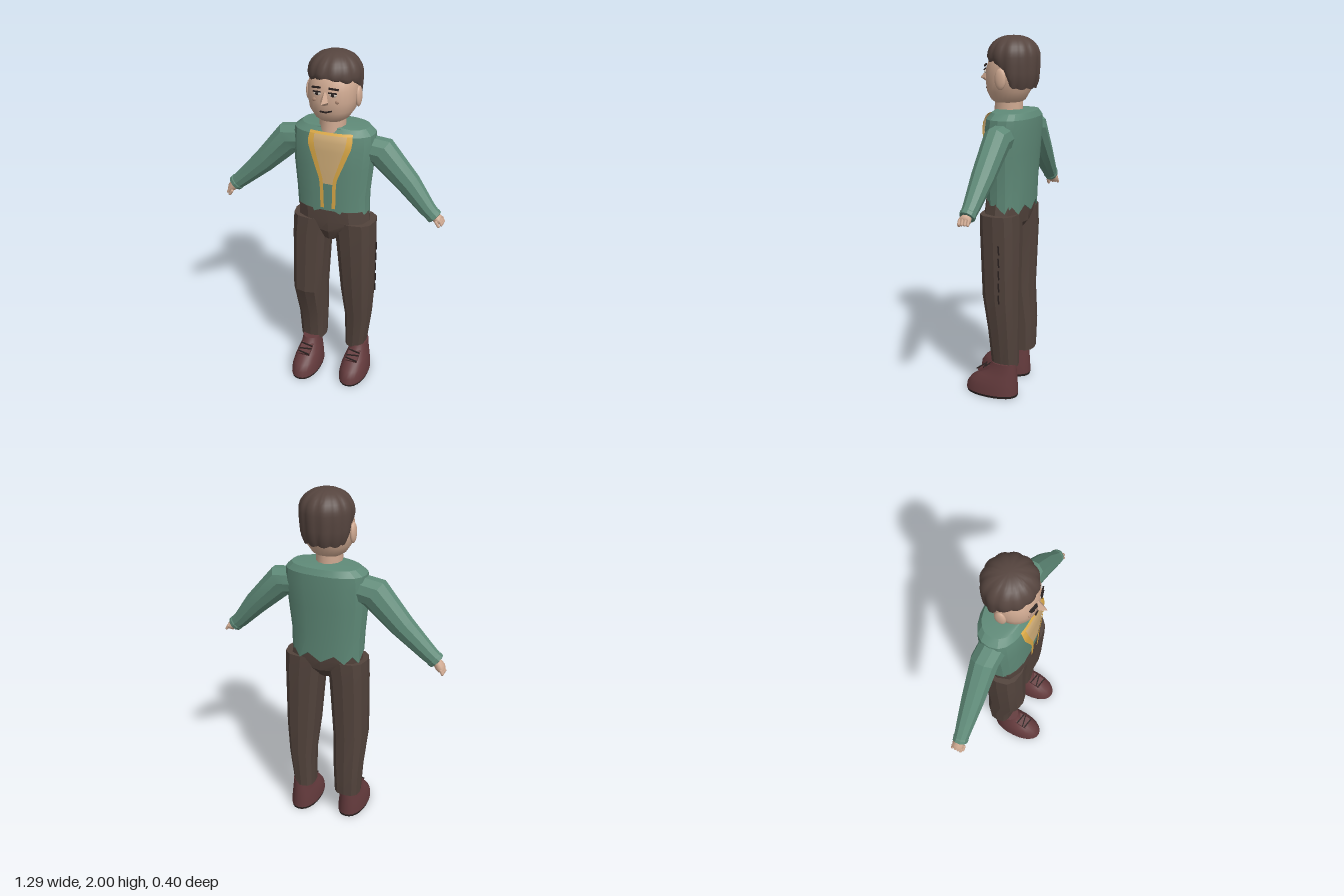
import * as THREE from 'three';
import { toCreasedNormals } from 'three/addons/utils/BufferGeometryUtils.js';

const mat = (name, color) => Object.assign(new THREE.MeshStandardMaterial({ color }), { name });
const SKIN = mat('skin', 0xd0aa92), HAIR = mat('hair', 0x56453f), GREEN = mat('sweater green', 0x5f8a78);
const BROWN = mat('trouser brown', 0x52433c), SHOE = mat('shoe maroon', 0x633a3c), DARK = mat('dark detail', 0x2a2120);
const GOLD = mat('gold trim', 0xdba947), TAN = mat('tan panel', 0xd0ad78), WHITE = mat('eye white', 0xcfc4b8);
const BLUSH = mat('cheek', 0xb08a74);
GOLD.side = TAN.side = THREE.DoubleSide;

function add(parent, name, geometry, material, x = 0, y = 0, z = 0) {
  const m = new THREE.Mesh(geometry, material);
  m.name = name;
  m.position.set(x, y, z);
  parent.add(m);
  return m;
}

// Skin a list of equal-length point rings, closed at both ends
function skin(rings, crease) {
  const n = rings[0].length, pos = [], idx = [];
  rings.flat().forEach(p => pos.push(p.x, p.y, p.z));
  for (let i = 0; i < rings.length - 1; i++)
    for (let j = 0; j < n; j++) {
      const k = (j + 1) % n, a = i * n + j, b = i * n + k;
      idx.push(a, b, b + n, a, b + n, a + n);
    }
  [rings[0], rings.at(-1)].forEach((ring, end) => {
    const c = ring.reduce((s, p) => s.add(p), new THREE.Vector3()).divideScalar(n);
    const ci = pos.length / 3, o = end ? (rings.length - 1) * n : 0;
    pos.push(c.x, c.y, c.z);
    for (let j = 0; j < n; j++) {
      const k = (j + 1) % n;
      idx.push(ci, o + (end ? j : k), o + (end ? k : j));
    }
  });
  const g = new THREE.BufferGeometry();
  g.setAttribute('position', new THREE.Float32BufferAttribute(pos, 3));
  g.setIndex(idx);
  return toCreasedNormals(g, crease);
}

// Stack of rounded sections, bottom to top: [y, x0, x1, z0, z1]
function stack(rows, { sides = 12, power = 2, crease = 0.3, dy = () => 0 } = {}) {
  const rnd = v => Math.sign(v) * Math.abs(v) ** (2 / power);
  return skin(rows.map(([y, x0, x1, z0, z1], i) => Array.from({ length: sides }, (_, j) => {
    const a = (j / sides) * Math.PI * 2;
    return new THREE.Vector3((x0 + x1) / 2 + (x1 - x0) / 2 * rnd(Math.cos(a)), y + dy(i, j, a),
      (z0 + z1) / 2 - (z1 - z0) / 2 * rnd(Math.sin(a)));
  })), crease);
}

// Limb through points [x, y, z, radius in the front plane, radius in depth]
function limb(pts, sides = 10, crease = 0.3) {
  const P = pts.map(p => new THREE.Vector3(p[0], p[1], p[2]));
  return skin(P.map((p, i) => {
    const t = P[Math.min(i + 1, P.length - 1)].clone().sub(P[Math.max(i - 1, 0)]).normalize();
    const n = new THREE.Vector3(-t.y, t.x, 0).normalize(), b = t.clone().cross(n);
    return Array.from({ length: sides }, (_, j) => {
      const a = ((j + 0.5) / sides) * Math.PI * 2;
      return p.clone().addScaledVector(n, pts[i][3] * Math.cos(a)).addScaledVector(b, pts[i][4] * Math.sin(a));
    });
  }), crease);
}

const TORSO = [
  [1.11, -0.185, 0.225, -0.165, 0.06], [1.22, -0.19, 0.225, -0.17, 0.063], [1.38, -0.205, 0.24, -0.18, 0.065],
  [1.51, -0.21, 0.25, -0.19, 0.064], [1.57, -0.205, 0.245, -0.19, 0.055], [1.602, -0.165, 0.21, -0.175, 0.03],
  [1.61, -0.07, 0.11, -0.12, 0.03]];

// Depth of the chest surface, used to lay the front panel on it
function chestZ(x, y) {
  let i = 0;
  while (i < TORSO.length - 2 && TORSO[i + 1][0] < y) i++;
  const f = (y - TORSO[i][0]) / (TORSO[i + 1][0] - TORSO[i][0]);
  const [, x0, x1, z0, z1] = TORSO[i].map((v, k) => v + (TORSO[i + 1][k] - v) * f);
  const u = Math.min(1, Math.abs(x - (x0 + x1) / 2) / ((x1 - x0) / 2));
  return (z0 + z1) / 2 + (z1 - z0) / 2 * (1 - u ** 2.4) ** (1 / 2.4);
}

// Sheet lying on the chest; rows [y, x0, x1] from top to bottom
function sheet(rows, lift, cols = 4) {
  const curve = (y, k) => {
    let i = 0;
    while (i < rows.length - 2 && rows[i + 1][0] > y) i++;
    return THREE.MathUtils.mapLinear(y, rows[i][0], rows[i + 1][0], rows[i][k], rows[i + 1][k]);
  };
  const g = new THREE.PlaneGeometry(1, 1, cols, 12), p = g.attributes.position;
  for (let v = 0; v < p.count; v++) {
    const y = THREE.MathUtils.lerp(rows.at(-1)[0], rows[0][0], p.getY(v) + 0.5);
    const x = THREE.MathUtils.lerp(curve(y, 1), curve(y, 2), p.getX(v) + 0.5);
    p.setXYZ(v, x, y, chestZ(x, y) + lift);
  }
  g.computeVertexNormals();
  return g;
}

function buildHead(root) {
  const head = new THREE.Group();
  head.name = 'head';
  root.add(head);
  add(head, 'neck', stack([[1.57, -0.052, 0.092, -0.11, 0.05], [1.67, -0.05, 0.09, -0.11, 0.045]], { crease: 1.2 }), SKIN);
  add(head, 'face', stack([[1.638, -0.035, 0.075, -0.09, 0.035], [1.66, -0.07, 0.11, -0.12, 0.062],
    [1.705, -0.1, 0.14, -0.145, 0.083], [1.76, -0.112, 0.153, -0.165, 0.088], [1.82, -0.114, 0.156, -0.175, 0.086],
    [1.89, -0.105, 0.15, -0.17, 0.062], [1.94, -0.06, 0.1, -0.13, 0.01]], { sides: 28, power: 2.2, crease: 1.2 }), SKIN);

  // Scalloped bowl of hair: high fringe, low nape
  const rings = [], n = 72, steps = 9;
  for (let i = -1; i <= steps + 3; i++)
    rings.push(Array.from({ length: n }, (_, j) => {
      const a = (j / n) * Math.PI * 2, front = -Math.sin(a), s = THREE.MathUtils.smoothstep(front, -0.45, 0.35);
      let hem = THREE.MathUtils.lerp(1.72, 1.84, s);
      if (front > 0.3) hem += 0.045 * Math.max(0, 1 - Math.abs(Math.cos(a)) / 0.9);
      const lobe = Math.abs(Math.sin(a * 6));
      let y, r;
      if (i < 3) {
        const f = (i + 1) / 4;
        y = THREE.MathUtils.lerp(hem, Math.max(hem, 1.885), f) + 0.008 * (1 - f) * (1 - lobe);
        r = i < 0 ? 0.84 : 0.92 + 0.08 * Math.sin(f * Math.PI / 2);
      } else {
        const q = ((i - 3) / steps) * Math.PI / 2;
        y = Math.max(1.885 + 0.112 * Math.sin(q), hem);
        r = Math.max(0.004, Math.cos(q)) ** 0.85;
      }
      r *= 0.95 + 0.05 * lobe;
      return new THREE.Vector3(0.022 + 0.146 * r * Math.cos(a), y, -0.06 - 0.143 * r * Math.sin(a));
    }));
  add(head, 'hair', skin(rings, 0.7), HAIR);

  const ball = new THREE.SphereGeometry(1, 14, 10);
  const blob = (name, material, p, s) => add(head, name, ball, material, ...p).scale.set(...s);
  const bar = (name, x, y, z, w, h, turn, tilt) => {
    add(head, name, new THREE.BoxGeometry(w, h, 0.007), DARK, x, y, z).rotation.set(0, turn, tilt);
  };
  for (const s of [-1, 1]) {
    const x = 0.02 + s * 0.043;
    blob('ear', SKIN, [0.02 + s * 0.137, 1.775, -0.042], [0.016, 0.056, 0.032]);
    blob('eye', WHITE, [x, 1.808, 0.083], [0.021, 0.011, 0.007]);
    blob('iris', DARK, [x, 1.808, 0.088], [0.009, 0.0095, 0.004]);
    bar('upperLid', x, 1.819, 0.089, 0.046, 0.006, s * 0.25, -s * 0.1);
    bar('eyebrow', x + s * 0.004, 1.84, 0.085, 0.052, 0.009, s * 0.25, -s * 0.12);
    blob('cheekSpot', BLUSH, [0.02 + s * 0.062, 1.77, 0.076], [0.012, 0.01, 0.005]);
  }
  add(head, 'nose', stack([[1.752, 0.002, 0.038, 0.06, 0.105], [1.77, -0.002, 0.042, 0.06, 0.138],
    [1.818, 0.013, 0.027, 0.07, 0.096]], { sides: 4 }), SKIN);
  bar('mouth', 0.012, 1.713, 0.088, 0.036, 0.007, 0, -0.08);
  bar('mouthCorner', 0.042, 1.717, 0.086, 0.03, 0.007, 0.15, 0.3);
}

function buildTorso(root) {
  // Ragged hem at the back
  add(root, 'sweater', stack(TORSO, { sides: 20, power: 2.4, dy: (i, j, a) =>
    i === 0 && Math.sin(a) > 0.25 ? (j % 2 ? -0.05 : -0.005) : 0 }), GREEN);
  add(root, 'chestPanel', sheet([[1.585, -0.07, 0.15], [1.535, -0.075, 0.153], [1.3, 0, 0.066]], 0.012, 8), TAN);
  // Gold edging that runs down into two hanging strips
  add(root, 'rightTrim', sheet([[1.585, -0.078, -0.05], [1.53, -0.086, -0.05], [1.32, -0.014, 0.006], [1.155, -0.01, 0.01]], 0.016), GOLD);
  add(root, 'leftTrim', sheet([[1.585, 0.13, 0.157], [1.53, 0.13, 0.163], [1.32, 0.06, 0.08], [1.155, 0.055, 0.075]], 0.016), GOLD);
  add(root, 'topTrim', sheet([[1.59, -0.077, 0.157], [1.578, -0.078, 0.158]], 0.016, 8), GOLD);
}

function buildArm(root, name, pts, hand) {
  const arm = new THREE.Group();
  arm.name = name;
  root.add(arm);
  add(arm, 'sleeve', limb(pts), GREEN);
  const w = pts.at(-1), v = pts.at(-2), at = (f, k) => v.slice(0, 3).map((c, i) => c + (w[i] - c) * f).concat(w[3] * k, w[4] * k);
  add(arm, 'cuff', limb([at(0.55, 1.02), at(0.7, 1.13), at(1.0, 1.08), at(1.04, 0.9)]), GREEN);
  // Short hand with curled fingers
  const [hx, hy, hz] = hand, s = Math.sign(hx);
  add(arm, 'palm', limb([[w[0], w[1], w[2], 0.024, 0.026], [(w[0] + hx) / 2, (w[1] + hy) / 2, hz, 0.028, 0.033],
    [hx - s * 0.008, hy + 0.008, hz, 0.02, 0.03]], 10, 1.2), SKIN);
  for (let i = 0; i < 4; i++)
    add(arm, 'finger', new THREE.CapsuleGeometry(0.008, 0.022, 3, 8), SKIN, hx - s * 0.004, hy + 0.004, hz - 0.025 + i * 0.0165).rotation.z = s * 0.5;
  add(arm, 'thumb', new THREE.CapsuleGeometry(0.009, 0.025, 3, 8), SKIN, hx - s * 0.02, hy - 0.004, hz + 0.03).rotation.z = s * 0.6;
}

function buildShoe(root, name, x, z) {
  const shoe = new THREE.Group();
  shoe.name = name;
  shoe.position.set(x, 0, z);
  root.add(shoe);
  const o = { sides: 24, power: 2.2, crease: 0.9 };
  add(shoe, 'sole', stack([[0, -0.08, 0.08, -0.155, 0.152], [0.014, -0.083, 0.083, -0.157, 0.155]], o), DARK);
  add(shoe, 'upper', stack([[0.014, -0.083, 0.083, -0.157, 0.156], [0.05, -0.081, 0.081, -0.156, 0.15],
    [0.085, -0.075, 0.075, -0.154, 0.125], [0.12, -0.066, 0.066, -0.152, 0.075], [0.15, -0.057, 0.057, -0.15, 0.025],
    [0.2, -0.052, 0.052, -0.145, -0.005]], o), SHOE);
  add(shoe, 'tongue', new THREE.BoxGeometry(0.07, 0.016, 0.08), SHOE, 0, 0.148, 0.035).rotation.x = 0.45;
  for (let i = 0; i < 3; i++)
    add(shoe, 'lace', new THREE.BoxGeometry(0.075, 0.006, 0.007), DARK, 0, 0.168 - i * 0.012, 0.018 + i * 0.026).rotation.y = i % 2 ? 0.2 : -0.2;
}

export function createModel() {
  const root = new THREE.Group();
  root.name = 'standingMan';
  buildHead(root);
  buildTorso(root);
  buildArm(root, 'leftArm', [[0.19, 1.48, -0.075, 0.075, 0.07], [0.28, 1.47, -0.078, 0.088, 0.07],
    [0.44, 1.31, -0.075, 0.067, 0.06], [0.55, 1.185, -0.066, 0.047, 0.044], [0.597, 1.143, -0.064, 0.04, 0.038]], [0.638, 1.122, -0.064]);
  buildArm(root, 'rightArm', [[-0.15, 1.49, -0.065, 0.078, 0.075], [-0.25, 1.475, -0.068, 0.09, 0.074],
    [-0.405, 1.31, -0.06, 0.068, 0.062], [-0.55, 1.175, -0.05, 0.049, 0.044], [-0.597, 1.135, -0.046, 0.043, 0.038]], [-0.637, 1.085, -0.05]);

  // Trousers
  const o = { sides: 12, power: 2.6 };
  add(root, 'trouserSeat', stack([[0.94, -0.02, 0.07, -0.1, 0.04], [1.0, -0.06, 0.12, -0.15, 0.066],
    [1.06, -0.18, 0.235, -0.155, 0.066], [1.13, -0.182, 0.222, -0.155, 0.062]], o), BROWN);
  add(root, 'rightTrouserLeg', stack([[0.18, -0.187, -0.035, -0.14, 0], [0.36, -0.197, -0.027, -0.145, 0.014],
    [0.57, -0.208, -0.015, -0.135, 0.082], [0.94, -0.21, 0.004, -0.15, 0.07], [1.06, -0.206, 0.03, -0.148, 0.064]], o), BROWN);
  add(root, 'leftTrouserLeg', stack([[0.18, 0.1, 0.222, -0.15, 0], [0.4, 0.098, 0.25, -0.155, 0.015],
    [0.6, 0.076, 0.265, -0.155, 0.045], [0.94, 0.046, 0.268, -0.155, 0.06], [1.06, 0.03, 0.268, -0.15, 0.062]], o), BROWN);
  for (let i = 0; i < 5; i++)
    add(root, 'sideSeam', new THREE.BoxGeometry(0.006, 0.05, 0.006), DARK, 0.267, 0.6 + i * 0.07, -0.08).rotation.x = 0.08;

  buildShoe(root, 'leftShoe', 0.181, 0);
  buildShoe(root, 'rightShoe', -0.11, 0.045);
  return root;
}
